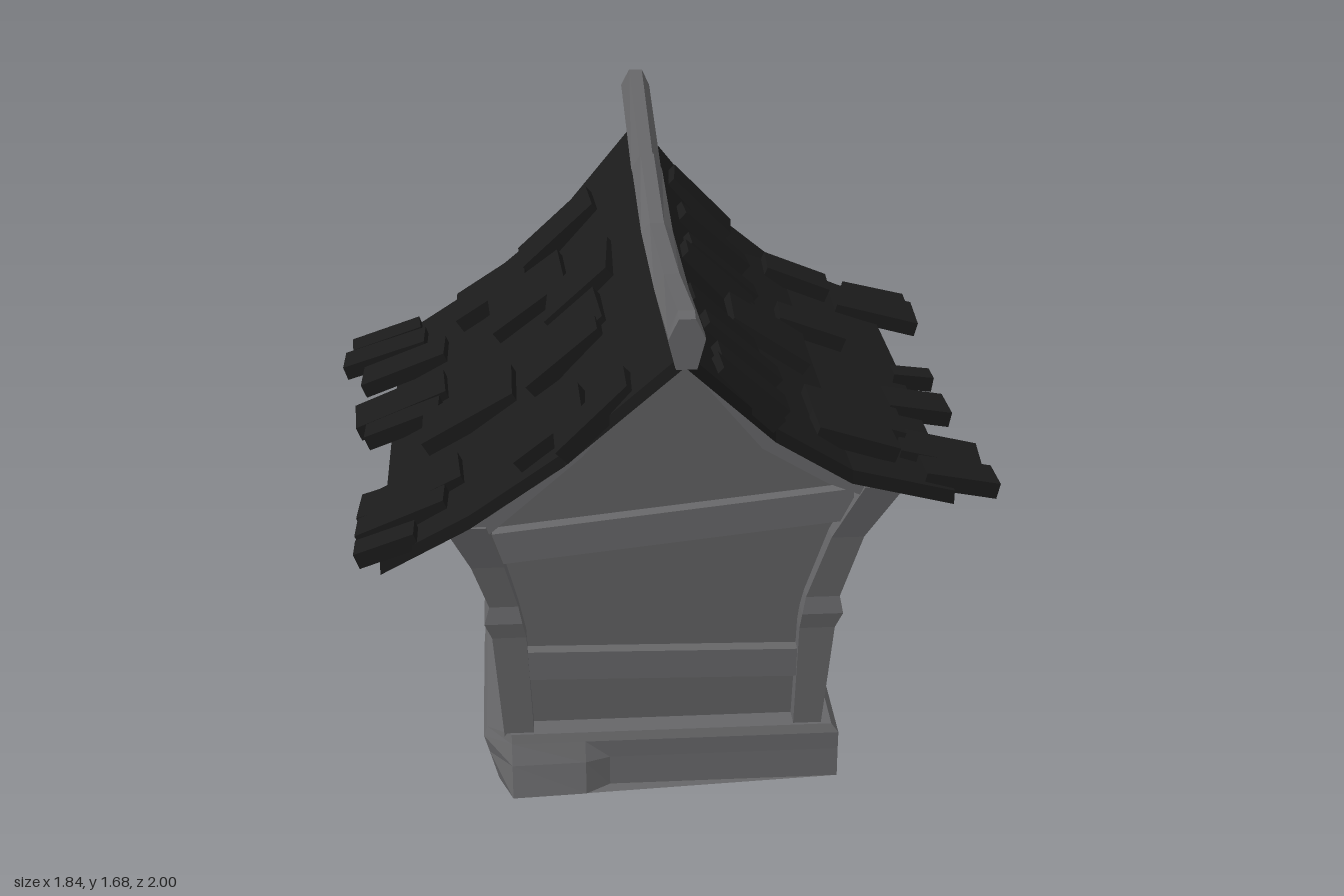
import * as THREE from 'three';

const mat = (name, color) => {
  const m = new THREE.MeshStandardMaterial({ color, flatShading: true });
  m.name = name;
  return m;
};

// Small seeded generator, returns -1..1
let seed = 7;
const rnd = () => {
  seed = (seed * 16807) % 2147483647;
  return (seed / 2147483647) * 2 - 1;
};

// Solid through matching rings of [x, y, z]; caps are built as strips
function loft(rings) {
  const n = rings[0].length, tris = [];
  const quad = (a, b, c, d) => tris.push([a, b, c], [a, c, d]);
  for (let r = 0; r < rings.length - 1; r++) {
    for (let i = 0; i < n; i++) {
      const j = (i + 1) % n;
      quad(rings[r][i], rings[r][j], rings[r + 1][j], rings[r + 1][i]);
    }
  }
  const first = rings[0], last = rings[rings.length - 1];
  for (let i = 0; i < n / 2 - 1; i++) {
    quad(first[n - 1 - i], first[n - 2 - i], first[i + 1], first[i]);
    quad(last[i], last[i + 1], last[n - 2 - i], last[n - 1 - i]);
  }
  // Turn every face outward if the signed volume is negative
  const vol = tris.reduce((s, [a, b, c]) => s +
    a[0] * (b[1] * c[2] - b[2] * c[1]) + a[1] * (b[2] * c[0] - b[0] * c[2]) + a[2] * (b[0] * c[1] - b[1] * c[0]), 0);
  if (vol < 0) tris.forEach((t) => t.reverse());
  const g = new THREE.BufferGeometry();
  g.setAttribute('position', new THREE.Float32BufferAttribute(tris.flat(2), 3));
  g.computeVertexNormals();
  return g;
}

// Roof profiles from ridge to eave: x, y, front z, back z
const slopes = {
  right: [[0.04, 1.47, 0.95, -0.92], [0.29, 1.2, 0.77, -0.87], [0.5, 1.06, 0.73, -0.84], [0.78, 0.98, 0.7, -0.81]],
  left: [[0.04, 1.47, 0.95, -0.92], [-0.25, 1.16, 0.77, -0.87], [-0.5, 0.975, 0.72, -0.85], [-0.74, 0.84, 0.69, -0.83]],
};

// Ridge sags in the middle, the right eave drops toward the back
function bend(side, x, z) {
  const t = Math.min(1, Math.abs(x - 0.04) / 0.74);
  return (1 - t) * 0.07 * z * z + (side === 'right' ? t * 0.035 * z : 0);
}

function roofY(side, x, z) {
  const p = slopes[side];
  const d = Math.abs(x);
  const end = p[3];
  if (d > Math.abs(end[0])) return end[1] - 0.32 * (d - Math.abs(end[0])) + bend(side, x, z);
  let i = 0;
  while (i < 2 && d > Math.abs(p[i + 1][0])) i++;
  const k = (x - p[i][0]) / (p[i + 1][0] - p[i][0]);
  return p[i][1] + k * (p[i + 1][1] - p[i][1]) + bend(side, x, z);
}

// Tiles: centre x, centre z, width along z, length along x
const tiles = {
  right: [[0.22, -0.71, 0.14, 0.18], [0.24, -0.47, 0.1, 0.2], [0.53, -0.67, 0.14, 0.2], [0.52, -0.25, 0.13, 0.2],
    [0.24, -0.23, 0.09, 0.2], [0.22, -0.11, 0.1, 0.2], [0.35, 0.03, 0.22, 0.22], [0.19, 0.3, 0.11, 0.18],
    [0.23, 0.42, 0.09, 0.2], [0.55, 0.4, 0.16, 0.26], [0.53, 0.55, 0.12, 0.22], [0.23, 0.65, 0.1, 0.18],
    [0.21, 0.77, 0.1, 0.16], [0.78, -0.62, 0.18, 0.26], [0.8, -0.73, 0.1, 0.2], [0.77, 0.17, 0.13, 0.18],
    [0.8, -0.06, 0.07, 0.12], [0.77, 0.5, 0.14, 0.22], [0.8, 0.63, 0.11, 0.2]],
  left: [[-0.43, -0.66, 0.23, 0.22], [-0.22, -0.69, 0.17, 0.22], [-0.32, -0.41, 0.27, 0.22], [-0.17, -0.18, 0.25, 0.18],
    [-0.5, 0.11, 0.2, 0.26], [-0.21, 0.1, 0.22, 0.18], [-0.23, 0.23, 0.09, 0.2], [-0.28, 0.61, 0.18, 0.18],
    [-0.17, 0.78, 0.12, 0.18], [-0.65, 0.44, 0.15, 0.26], [-0.78, -0.77, 0.09, 0.22], [-0.78, -0.65, 0.12, 0.26],
    [-0.71, -0.47, 0.14, 0.26], [-0.71, -0.19, 0.16, 0.27], [-0.7, -0.06, 0.1, 0.22], [-0.72, 0.43, 0.14, 0.16],
    [-0.68, 0.55, 0.1, 0.24], [-0.72, 0.66, 0.08, 0.16]],
};

export function createModel() {
  seed = 7;
  const timber = mat('grey timber', 0x666668);
  const wall = mat('grey wall', 0x646466);
  const roof = mat('black roof', 0x1b1b1b);
  const pane = mat('tan pane', 0xe8d2a6);
  const model = new THREE.Group();
  const add = (name, geo, material, parent = model) => {
    const m = new THREE.Mesh(geo, material);
    m.name = name;
    parent.add(m);
    return m;
  };
  // Straight board from a to b
  const beam = (name, a, b, h, d, material = timber, parent = model) => {
    const p = new THREE.Vector3(...a), q = new THREE.Vector3(...b);
    const m = add(name, new THREE.BoxGeometry(p.distanceTo(q), h, d), material, parent);
    m.position.copy(p).add(q).multiplyScalar(0.5);
    m.quaternion.setFromUnitVectors(new THREE.Vector3(1, 0, 0), q.sub(p).normalize());
    return m;
  };
  const frontZ = (y) => 0.45 + 0.08 * y;
  const backZ = (y) => -0.57 - 0.09 * y;

  // Plinth, chipped at the front left corner with a bulging foot beside it
  const plinth = (y, l, r, b, f, bulge) => [[l + 0.02, y, b], [r, y, b], [r, y, f], [-0.13, y, f],
    [-0.2, y, f + bulge * 0.8], [-0.41, y, f + bulge], [l, y, f - 0.05], [l, y, 0]];
  add('plinth', loft([
    plinth(0, -0.45, 0.53, -0.68, 0.545, 0.055),
    plinth(0.09, -0.475, 0.53, -0.67, 0.54, 0.03),
    plinth(0.145, -0.49, 0.53, -0.665, 0.54, 0),
    plinth(0.17, -0.48, 0.51, -0.65, 0.53, 0),
  ]), timber);

  // Walls: gabled outline, leaning outward with height
  const outline = [[-0.37, 0.15], [0.42, 0.15], [0.45, 0.5], [0.56, 0.96], [0.3, 1.14], [0.05, 1.42], [-0.22, 1.12], [-0.48, 0.88], [-0.41, 0.5]];
  const body = new THREE.ExtrudeGeometry(new THREE.Shape(outline.map((p) => new THREE.Vector2(...p))), { depth: 1, bevelEnabled: false });
  const bp = body.attributes.position;
  for (let i = 0; i < bp.count; i++) {
    const y = bp.getY(i);
    bp.setZ(i, bp.getZ(i) > 0.5 ? frontZ(y) : backZ(y));
  }
  body.computeVertexNormals();
  add('walls', body, wall);

  // Corner posts, flared at the top, with a thicker lower half
  const xs = {
    right: { y: [0.16, 0.5, 0.55, 0.6, 0.8, 0.97], o: [0.48, 0.505, 0.525, 0.515, 0.57, 0.67], i: [0.4, 0.405, 0.41, 0.42, 0.48, 0.56] },
    left: { y: [0.16, 0.5, 0.55, 0.6, 0.74, 0.88], o: [-0.43, -0.455, -0.475, -0.46, -0.505, -0.57], i: [-0.345, -0.36, -0.37, -0.38, -0.415, -0.46] },
  };
  const zs = {
    front: { o: [0.52, 0.54, 0.55, 0.54, 0.565, 0.6], i: [0.41, 0.42, 0.42, 0.43, 0.44, 0.44] },
    back: { o: [-0.64, -0.66, -0.68, -0.67, -0.69, -0.73], i: [-0.49, -0.49, -0.5, -0.55, -0.55, -0.56] },
  };
  for (const [sx, X] of Object.entries(xs)) {
    for (const [sz, Z] of Object.entries(zs)) {
      add(`${sz} ${sx} post`, loft(X.y.map((y, k) => [
        [X.o[k], y, Z.o[k]], [X.i[k], y, Z.o[k]], [X.i[k], y, Z.i[k]], [X.o[k], y, Z.i[k]],
      ])), timber);
    }
  }

  // Gable boards and rafters; low and tie give the board heights at the left and right ends
  const rafterLine = [[-0.54, 0.9], [-0.24, 1.13], [0.04, 1.44], [0.3, 1.155], [0.48, 1.035], [0.66, 0.98],
    [0.58, 0.93], [0.46, 0.98], [0.28, 1.09], [0.05, 1.37], [-0.2, 1.08], [-0.47, 0.84]];
  const gables = [
    { end: 'front', zAt: frontZ, dir: 1, low: [0.393, 0.375], tie: [0.79, 0.9], rafterZ: 0.52 },
    { end: 'back', zAt: backZ, dir: -1, low: [0.32, 0.4], tie: [0.79, 0.92], rafterZ: -0.715 },
  ];
  for (const { end, zAt, dir, low, tie, rafterZ } of gables) {
    const lowZ = zAt(0.39) + dir * 0.01;
    beam(`${end} lower board`, [-0.37, low[0], lowZ], [0.42, low[1], lowZ], 0.09, 0.06);
    beam(`${end} tie beam`, [-0.44, tie[0], zAt(0.82) + dir * 0.01], [0.54, tie[1], zAt(0.9) + dir * 0.01], 0.095, 0.06);
    const g = new THREE.ExtrudeGeometry(new THREE.Shape(rafterLine.map((p) => new THREE.Vector2(...p))), { depth: 0.07, bevelEnabled: false });
    add(`${end} gable rafters`, g, timber).position.z = rafterZ;
  }

  // Side rails
  for (const [side, dir, lowX, topX, topY] of [['right', 1, 0.43, 0.535, 0.9], ['left', -1, -0.38, -0.465, 0.83]]) {
    beam(`${side} sill board`, [lowX + dir * 0.005, 0.25, 0.43], [lowX + dir * 0.005, 0.21, -0.53], 0.14, 0.05);
    beam(`${side} top rail`, [topX, topY, 0.46], [topX, topY, -0.6], 0.08, 0.05);
  }

  // Windows: local x points outward
  for (const [side, x, turn] of [['right', 0.48, 0], ['left', -0.43, Math.PI]]) {
    const holder = new THREE.Group();
    holder.name = `${side} window`;
    holder.position.set(x, 0.64, -0.03);
    holder.rotation.y = turn;
    const w = new THREE.Group();
    w.name = 'window frame';
    w.rotation.z = -0.22;
    holder.add(w);
    model.add(holder);
    add('pane', new THREE.BoxGeometry(0.008, 0.3, 0.28), pane, w).position.x = 0.014;
    beam('frame head', [0.02, 0.13, 0.2], [0.02, 0.15, -0.2], 0.05, 0.055, roof, w);
    beam('frame sill', [0.02, -0.16, 0.19], [0.02, -0.16, -0.19], 0.045, 0.055, roof, w);
    beam('cross bar', [0.015, 0.01, 0.15], [0.015, 0, -0.15], 0.032, 0.03, roof, w);
    const mullion = add('middle bar', new THREE.BoxGeometry(0.034, 0.3, 0.052), roof, w);
    mullion.position.set(0.015, 0, -0.005);
    mullion.rotation.x = -0.13;
    for (const s of [1, -1]) {
      const jamb = add('jamb', new THREE.BoxGeometry(0.05, 0.37, 0.052), roof, w);
      jamb.position.set(0.018, 0, s * 0.15);
      jamb.rotation.x = s * 0.05;
    }
  }

  // Roof slopes with tiles
  for (const side of ['right', 'left']) {
    const p = slopes[side];
    const rings = [];
    for (let k = 0; k <= 6; k++) {
      const top = p.map(([x, y, f, b]) => {
        const z = f + (b - f) * k / 6;
        return [x, y + bend(side, x, z), z];
      });
      rings.push([...top, ...top.map(([x, y, z]) => [x, y - 0.04, z]).reverse()]);
    }
    add(`${side} roof slope`, loft(rings), roof);
    const dir = side === 'right' ? 1 : -1;
    for (const [x, z, width, len] of tiles[side]) {
      const x0 = x - dir * len / 2, x1 = x + dir * len / 2;
      const y0 = roofY(side, x0, z) + 0.005, y1 = roofY(side, x1, z) + 0.025;
      const geo = new THREE.BoxGeometry(Math.hypot(len, y1 - y0), 0.045, width);
      const tile = add(`${side} roof tile`, geo, roof);
      tile.position.set(x, (y0 + y1) / 2, z);
      tile.rotation.set(0, rnd() * 0.09, Math.atan2((y1 - y0) * dir, len));
    }
  }

  // Sagging ridge beam
  const ridge = [[1, 1.51, 1.64], [0.97, 1.5, 1.65], [0.53, 1.46, 1.57], [0, 1.45, 1.515], [-0.42, 1.46, 1.58], [-0.46, 1.46, 1.56], [-0.97, 1.53, 1.68], [-1, 1.55, 1.67]];
  add('ridge beam', loft(ridge.map(([z, b, t]) => {
    const m = b + (t - b) * 0.6;
    return [[0.015, b, z], [-0.005, m, z], [0.02, t, z], [0.06, t, z], [0.085, m, z], [0.065, b, z]];
  })), timber);

  return model;
}
